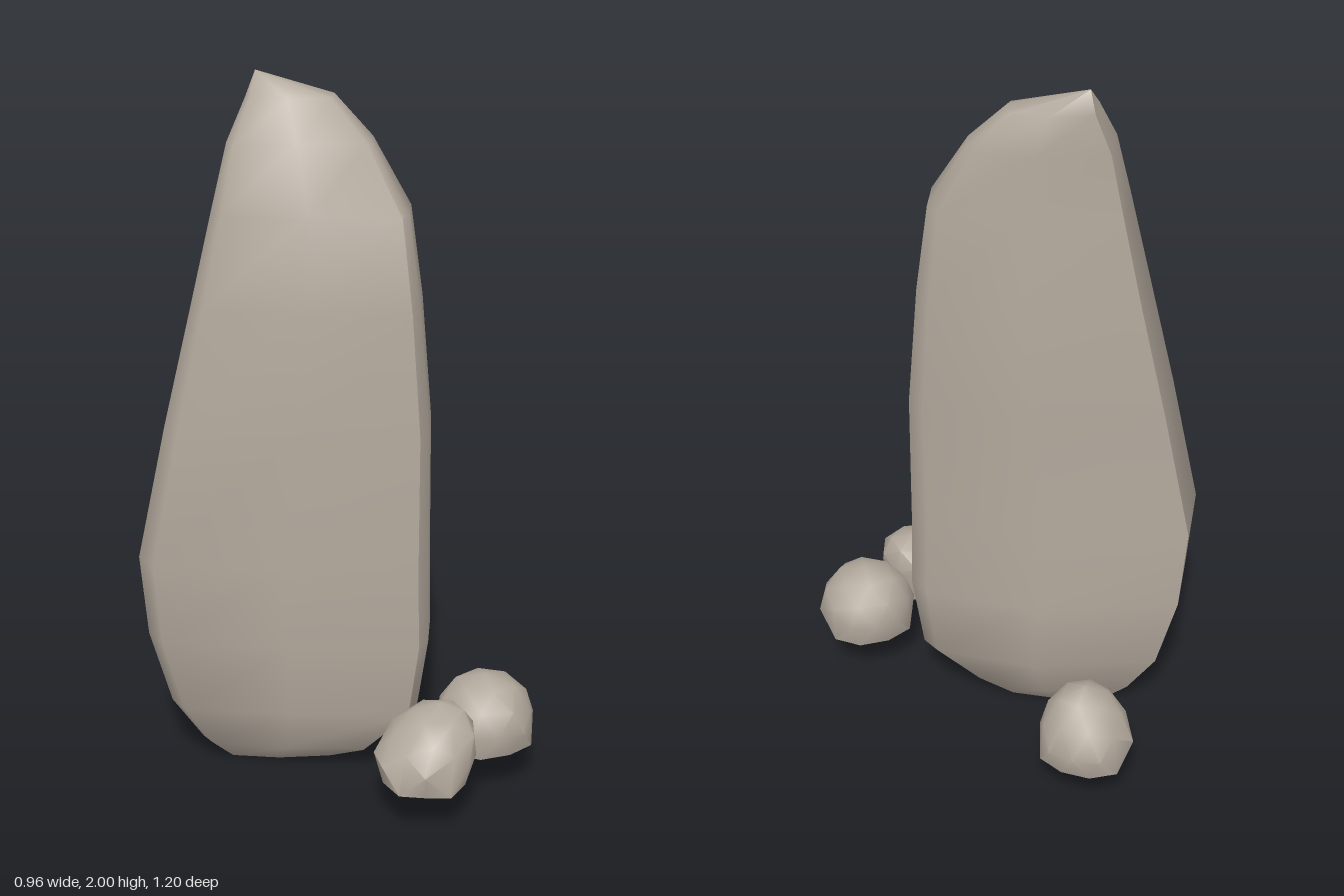
import * as THREE from 'three';
import { toCreasedNormals } from 'three/addons/utils/BufferGeometryUtils.js';

const stone = new THREE.MeshStandardMaterial({ color: 0xb2a89c });
stone.name = 'stone';

// Standing stone levels: height, left end, right end,
// front depth at the left, front depth at the right, back depth
const LEVELS = [
  [0.00, -0.27, 0.04, 0.05, 0.03, 0.05],
  [0.07, -0.335, 0.15, 0.10, 0.115, 0.10],
  [0.20, -0.42, 0.285, 0.14, 0.14, 0.15],
  [0.42, -0.48, 0.315, 0.16, 0.15, 0.165],
  [0.66, -0.50, 0.31, 0.165, 0.155, 0.155],
  [1.05, -0.42, 0.305, 0.15, 0.14, 0.165],
  [1.40, -0.34, 0.275, 0.135, 0.135, 0.16],
  [1.65, -0.285, 0.24, 0.10, 0.095, 0.145],
  [1.83, -0.245, 0.135, 0.06, 0.02, 0.135],
  [1.94, -0.20, 0.03, 0.00, -0.03, 0.13],
];
const TURN = 0.585; // the slab stands at an angle to the front

// Turn slab coordinates (along, across) into a point
function place(u, y, v) {
  const c = Math.cos(TURN), s = Math.sin(TURN);
  return [u * c - v * s, y, u * s + v * c];
}

// Nine-sided slab section with chamfered ends and bowed faces
function section([y, l, r, fl, fr, b]) {
  const w = r - l;
  const left = (t) => -b + (fl + b) * t;
  const right = (t) => -b + (fr + b) * t;
  return [
    [l + 0.06 * w, left(1)], [l, left(0.83)], [l + 0.025 * w, left(0.19)],
    [l + 0.53 * w, -b], [r - 0.06 * w, right(0.2)], [r, right(0.35)],
    [r, right(0.8)], [r - 0.03 * w, right(0.96)], [l + 0.5 * w, (fl + fr) / 2 + 0.012],
  ].map(([u, v]) => place(u, y, v));
}

function monolithGeometry() {
  const rings = LEVELS.map(section);
  const n = rings[0].length;
  const foot = place(-0.13, 0, 0);
  const peak = place(-0.18, 2, -0.085);
  const pos = [];
  const tri = (...pts) => pts.forEach((p) => pos.push(...p));
  for (let i = 0; i < n; i++) {
    const j = (i + 1) % n;
    for (let k = 0; k < rings.length - 1; k++) {
      const lo = rings[k], hi = rings[k + 1];
      tri(lo[j], lo[i], hi[i]);
      tri(lo[j], hi[i], hi[j]);
    }
    const top = rings[rings.length - 1];
    tri(rings[0][i], rings[0][j], foot);
    tri(top[j], top[i], peak);
  }
  const g = new THREE.BufferGeometry();
  g.setAttribute('position', new THREE.Float32BufferAttribute(pos, 3));
  return toCreasedNormals(g, 1);
}

// Rough boulder: a dented dome with a leaning, tapered top and a flat underside
function pebbleGeometry(radius, height, leanX, leanZ, taper, seed) {
  const g = new THREE.IcosahedronGeometry(1, 1);
  g.deleteAttribute('uv');
  g.rotateY(seed * 1.3);
  const p = g.attributes.position;
  for (let i = 0; i < p.count; i++) {
    const x = p.getX(i), y = p.getY(i), z = p.getZ(i);
    const dent = 1 + 0.04 * Math.sin(5 * x + seed) * Math.cos(4 * z + 3 * y + seed * 2);
    const up = Math.max(y, 0);
    const spread = radius * dent * (1 - taper * up);
    const rise = y > 0 ? y * height : Math.max(y * height * 1.8, -0.07);
    p.setXYZ(i, x * spread + leanX * up, rise, z * spread + leanZ * up);
  }
  return toCreasedNormals(g, 0.75);
}

export function createModel() {
  const model = new THREE.Group();
  model.name = 'standingStones';

  const monolith = new THREE.Mesh(monolithGeometry(), stone);
  monolith.name = 'monolith';
  model.add(monolith);

  // Small stones around the foot: x, z, radius, height, lean in x and z, taper
  [
    ['rightPebble', 0.337, 0.36, 0.143, 0.135, 0, 0, 0],
    ['frontPebble', 0.08, 0.46, 0.14, 0.135, 0.06, -0.02, 0.05],
    ['backPebble', 0.055, -0.472, 0.135, 0.155, 0, 0.015, 0.15],
  ].forEach(([name, x, z, ...shape], i) => {
    const pebble = new THREE.Mesh(pebbleGeometry(...shape, i + 1), stone);
    pebble.name = name;
    pebble.position.set(x, 0.205, z);
    model.add(pebble);
  });
  return model;
}
